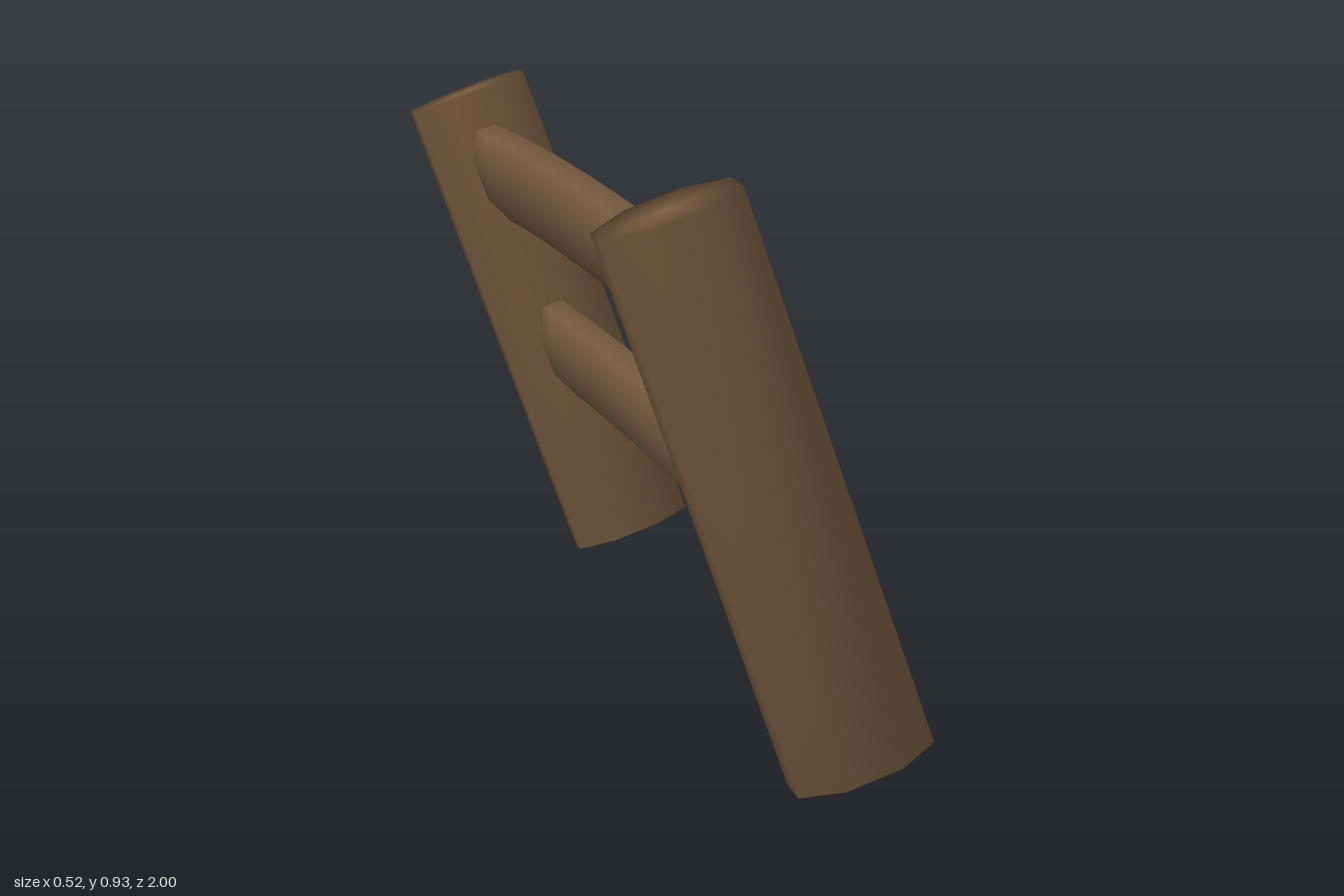
import * as THREE from 'three';
import { mergeVertices } from 'three/addons/utils/BufferGeometryUtils.js';

const wood = new THREE.MeshStandardMaterial({ color: 0x785c40 });
wood.name = 'brown wood';

// Smooth eight-sided log of unit half-width along y; bend moves each vertex
function log(length, segments, bend) {
  const g = new THREE.CylinderGeometry(1 / Math.cos(Math.PI / 8), 1 / Math.cos(Math.PI / 8), length, 8, segments, false, Math.PI / 8);
  g.deleteAttribute('uv');
  g.deleteAttribute('normal');
  const p = g.attributes.position;
  const v = new THREE.Vector3();
  for (let i = 0; i < p.count; i++) {
    v.fromBufferAttribute(p, i);
    bend(v);
    p.setXYZ(i, v.x, v.y, v.z);
  }
  const merged = mergeVertices(g, 1e-4);
  merged.computeVertexNormals();
  return merged;
}

function addMesh(parent, name, geometry) {
  const mesh = new THREE.Mesh(geometry, wood);
  mesh.name = name;
  parent.add(mesh);
  return mesh;
}

export function createModel() {
  const model = new THREE.Group();
  model.name = 'leaningRailFrame';

  // The whole frame leans to one side
  const frame = new THREE.Group();
  frame.name = 'frame';
  frame.position.y = 0.467;
  frame.rotation.z = THREE.MathUtils.degToRad(20);
  model.add(frame);

  // Oval posts, splayed outward and slightly thicker at the top
  for (const side of [1, -1]) {
    const post = addMesh(frame, side > 0 ? 'frontPost' : 'backPost', log(0.909, 1, (v) => {
      v.x *= 0.111;
      v.z *= v.y > 0 ? 0.088 : 0.081;
    }));
    post.position.z = side * 0.887;
    post.rotation.x = side * 0.055;
  }

  // Flattened rails, gently arched between the posts
  for (const [name, height] of [['upperRail', 0.314], ['lowerRail', -0.047]]) {
    const rail = addMesh(frame, name, log(1.7, 12, (v) => {
      const along = v.y;
      v.set(v.x * 0.044, -v.z * 0.0915 - 0.025 * along * along, along);
    }));
    rail.position.y = height;
  }
  return model;
}
